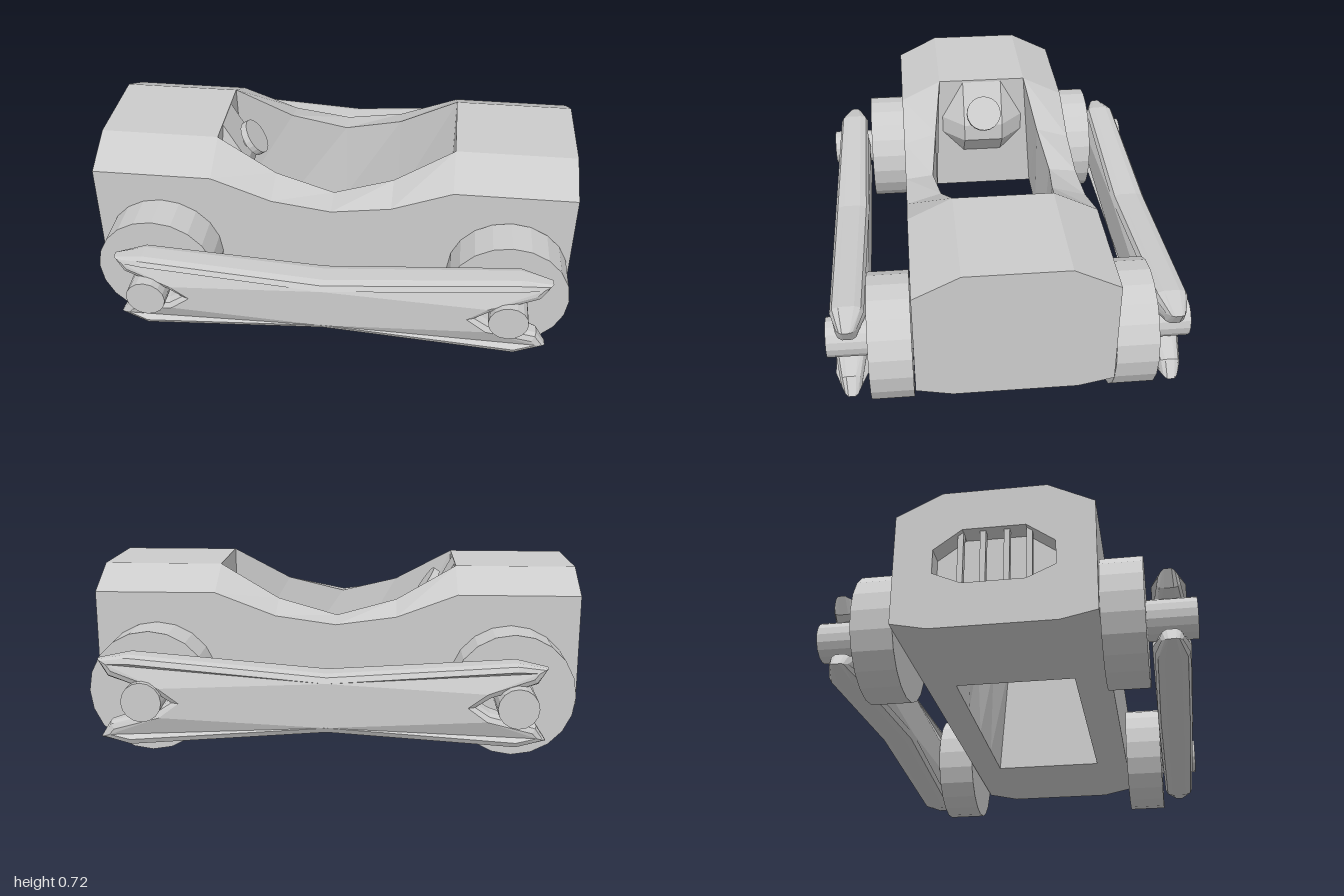
import * as THREE from 'three';
import { ConvexGeometry } from 'three/addons/geometries/ConvexGeometry.js';

const material = new THREE.MeshStandardMaterial({ color: 0xcccccc, flatShading: true });

function add(parent, name, geometry, x = 0, y = 0, z = 0) {
  const mesh = new THREE.Mesh(geometry, material);
  mesh.name = name;
  mesh.position.set(x, y, z);
  parent.add(mesh);
  return mesh;
}

const toShape = (points) => new THREE.Shape(points.map(([x, y]) => new THREE.Vector2(x, y)));

// Mirrors a half outline to the other side
const mirrored = (half) => [...half, ...half.map(([x, y]) => [-x, y]).reverse()];

// The underside rises a little towards +x
function tiltUnderside(geometry) {
  const p = geometry.attributes.position;
  for (let i = 0; i < p.count; i++) {
    if (p.getY(i) < 0.25) p.setY(i, p.getY(i) + 0.01 * (p.getX(i) + 1));
  }
  geometry.computeVertexNormals();
  return geometry;
}

// Extrudes a (z, y) shape along x
function extrudeX(shape, x0, x1) {
  const g = new THREE.ExtrudeGeometry(shape, { depth: x1 - x0, bevelEnabled: false });
  return g.rotateY(Math.PI / 2).translate(x0, 0, 0);
}

const bodyOutline = mirrored([[0.24, 0.14], [0.38, 0.17], [0.38, 0.63], [0.2, 0.72]]);
const grilleOutline = mirrored([[0.12, 0.32], [0.23, 0.37], [0.23, 0.47], [0.12, 0.55]]);

// Curved side wall beside the open cockpit, skinned through cross-sections
function sideWall(side) {
  const stations = [
    [-0.5, 0.63, 0.72, 0.2], [-0.25, 0.535, 0.58, 0.235], [0, 0.5, 0.515, 0.26],
    [0.25, 0.535, 0.58, 0.235], [0.5, 0.63, 0.72, 0.2],
  ];
  const rings = stations.map(([x, outerY, innerY, innerZ]) => {
    const ring = [[0.38, 0.17], [0.38, outerY], [innerZ, innerY], [0.24, 0.14]]
      .map(([z, y]) => [x, y, z * side]);
    return side > 0 ? ring : ring.reverse();
  });
  const v = [];
  for (let i = 0; i < rings.length - 1; i++) {
    for (let j = 0; j < 4; j++) {
      const k = (j + 1) % 4;
      const a = rings[i][j], b = rings[i][k], c = rings[i + 1][k], d = rings[i + 1][j];
      v.push(...a, ...c, ...b, ...a, ...d, ...c);
    }
  }
  const g = new THREE.BufferGeometry();
  g.setAttribute('position', new THREE.Float32BufferAttribute(v, 3));
  return tiltUnderside(g);
}

// Bone-like connecting rod with a forked, tapering tip at each end
function rodGeometry() {
  const upper = [[0.58, 0], [0.66, 0.06], [0.85, 0.12], [0.87, 0.145], [0.78, 0.155], [0, 0.09]];
  const top = [...upper, ...upper.slice(0, -1).reverse().map(([x, y]) => [-x, y])];
  const bottom = top.slice(1, -1).reverse().map(([x, y]) => [x, -y]);
  const g = new THREE.ExtrudeGeometry(toShape([...top, ...bottom]), {
    depth: 0.07, bevelThickness: 0.04, bevelSize: 0.03, bevelSegments: 2,
  });
  g.translate(0, 0, -0.035);
  const p = g.attributes.position;
  for (let i = 0; i < p.count; i++) {
    const x = p.getX(i), y = p.getY(i);
    const taper = 1 - 0.6 * THREE.MathUtils.clamp((Math.abs(x) - 0.75) / 0.15, 0, 1);
    p.setXYZ(i, x < 0 ? x * 0.945 : x, x < 0 ? y * (1 + 0.1 * x) : y, p.getZ(i) * taper);
  }
  g.computeVertexNormals();
  return g;
}

export function createModel() {
  const model = new THREE.Group();
  model.name = 'car';

  // Body: solid ends joined by two side walls
  const body = new THREE.Group();
  body.name = 'body';
  model.add(body);
  const noseShape = toShape(bodyOutline);
  noseShape.holes.push(toShape(grilleOutline));
  add(body, 'grilleSurround', tiltUnderside(extrudeX(noseShape, -1, -0.92)));
  add(body, 'hood', tiltUnderside(extrudeX(toShape(bodyOutline), -0.92, -0.5)));
  add(body, 'trunk', tiltUnderside(extrudeX(toShape(bodyOutline), 0.5, 1)));
  for (const side of [1, -1]) add(body, 'sideWall', sideWall(side));

  // Grille bars in the recess
  for (const z of [-0.13, -0.045, 0.045, 0.13]) {
    add(body, 'grilleBar', new THREE.BoxGeometry(0.03, 0.23, 0.022), -0.965, 0.435, z);
  }

  // Steering console and wheel
  const consolePoints = [];
  for (const s of [1, -1]) {
    consolePoints.push(...[[-0.5, 0.71, 0.09], [-0.4, 0.53, 0.09], [-0.4, 0.45, 0.09],
      [-0.5, 0.53, 0.19], [-0.5, 0.45, 0.19], [-0.5, 0.34, 0.09]]
      .map(([x, y, z]) => new THREE.Vector3(x, y, z * s)));
  }
  add(model, 'steeringConsole', new ConvexGeometry(consolePoints));
  const steering = new THREE.Group();
  steering.name = 'steering';
  steering.position.set(-0.385, 0.6, 0);
  steering.rotation.z = -0.98;
  add(steering, 'steeringWheel', new THREE.CylinderGeometry(0.08, 0.08, 0.03, 20));
  add(steering, 'steeringColumn', new THREE.CylinderGeometry(0.025, 0.025, 0.1, 10), 0, -0.06, 0);
  model.add(steering);

  // Wheels, axle pins and connecting rods on both sides
  for (const side of [1, -1]) {
    for (const [x, z0, z1, pinEnd] of [[-0.72, 0.38, 0.54, 0.73], [0.745, 0.385, 0.55, 0.718]]) {
      const wheel = new THREE.CylinderGeometry(0.25, 0.25, z1 - z0, 20).rotateX(Math.PI / 2);
      add(model, 'wheel', wheel, x, 0.255, side * (z0 + z1) / 2);
      const pin = new THREE.CylinderGeometry(0.08, 0.08, pinEnd - 0.5, 16).rotateX(Math.PI / 2);
      add(model, 'axlePin', pin, x, 0.26, side * (pinEnd + 0.5) / 2);
    }
    add(model, 'connectingRod', rodGeometry(), side > 0 ? 0 : 0.02, 0.253, side * 0.628);
  }
  return model;
}
